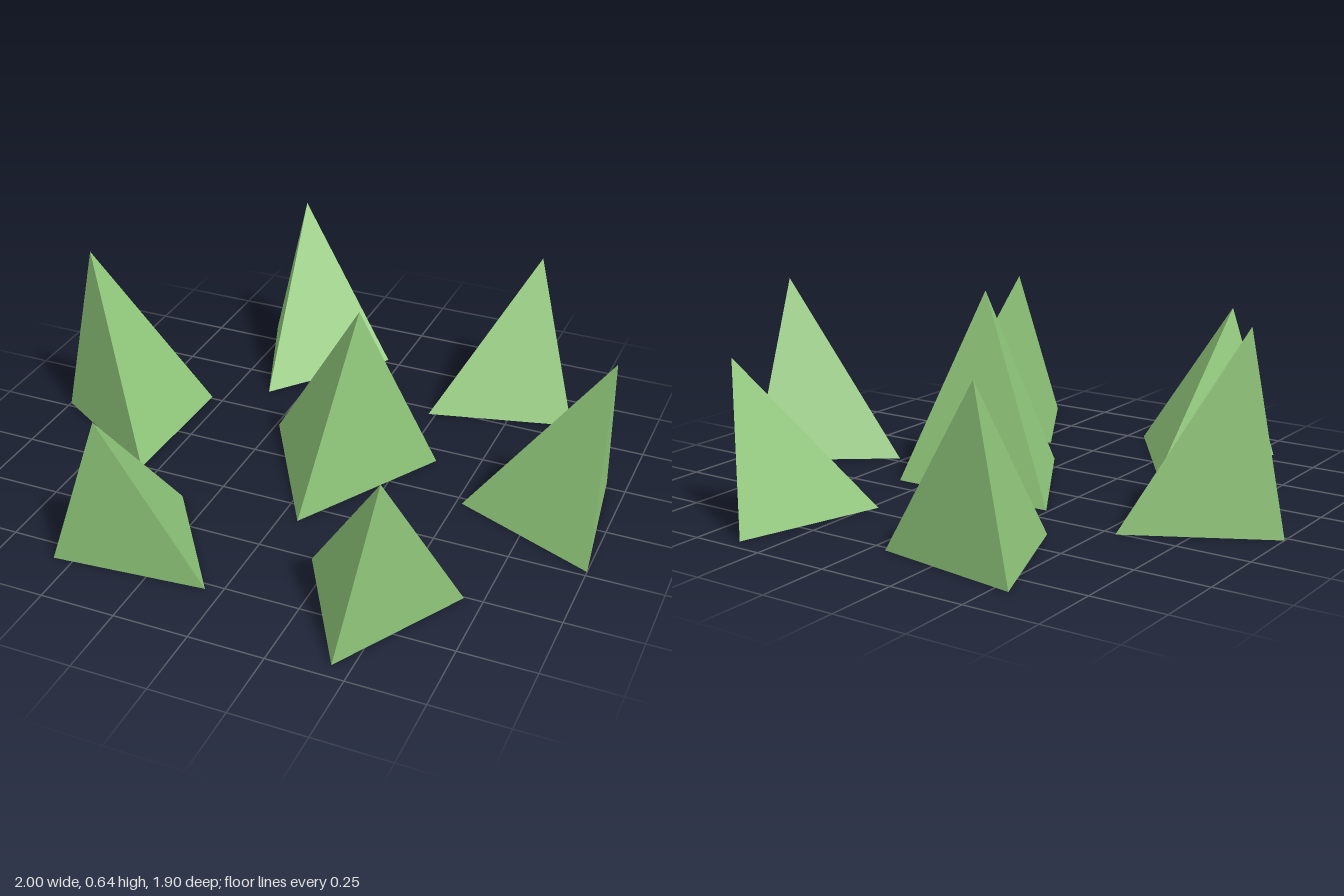
import * as THREE from 'three';

// Leaning three-sided spike, open underneath: three ground corners [x, z] and a tip [x, y, z]
function spikeGeometry(corners, tip) {
  const points = corners.map(([x, z]) => new THREE.Vector3(x, 0, z));
  const apex = new THREE.Vector3(...tip);
  // Keep the corners in an order that makes the sides face outward
  const turn = points[1].clone().sub(points[0]).cross(points[2].clone().sub(points[0]));
  if (turn.y < 0) points.reverse();
  const triangles = [];
  for (let i = 0; i < 3; i++) triangles.push(points[i], points[(i + 1) % 3], apex);
  const geometry = new THREE.BufferGeometry().setFromPoints(triangles);
  geometry.computeVertexNormals();
  return geometry;
}

export function createModel() {
  const model = new THREE.Group();
  model.name = 'grassTuft';

  const grass = new THREE.MeshStandardMaterial({ color: 0x91c87b });
  grass.name = 'grass green';
  grass.side = THREE.DoubleSide;
  grass.flatShading = true;

  // One central blade with six around it
  const blades = {
    centreBlade: [[[-0.24, -0.18], [0.355, -0.18], [0.06, 0.335]], [0.15, 0.645, 0.04]],
    rightBlade: [[[-1, -0.02], [-0.545, -0.26], [-0.56, 0.255]], [-0.86, 0.645, -0.005]],
    leftBlade: [[[0.52, 0.03], [0.93, -0.28], [1, 0.23]], [0.98, 0.613, -0.01]],
    backRightBlade: [[[-0.55, -0.85], [-0.05, -0.77], [-0.37, -0.375]], [-0.4, 0.578, -0.803]],
    backLeftBlade: [[[0.365, -0.955], [0.72, -0.585], [0.225, -0.46]], [0.515, 0.525, -0.803]],
    frontRightBlade: [[[-0.565, 0.82], [-0.055, 0.775], [-0.35, 0.355]], [-0.4, 0.525, 0.79]],
    frontLeftBlade: [[[0.185, 0.505], [0.69, 0.505], [0.44, 0.95]], [0.52, 0.55, 0.793]],
  };
  for (const [name, [corners, tip]] of Object.entries(blades)) {
    const blade = new THREE.Mesh(spikeGeometry(corners, tip), grass);
    blade.name = name;
    model.add(blade);
  }
  return model;
}
